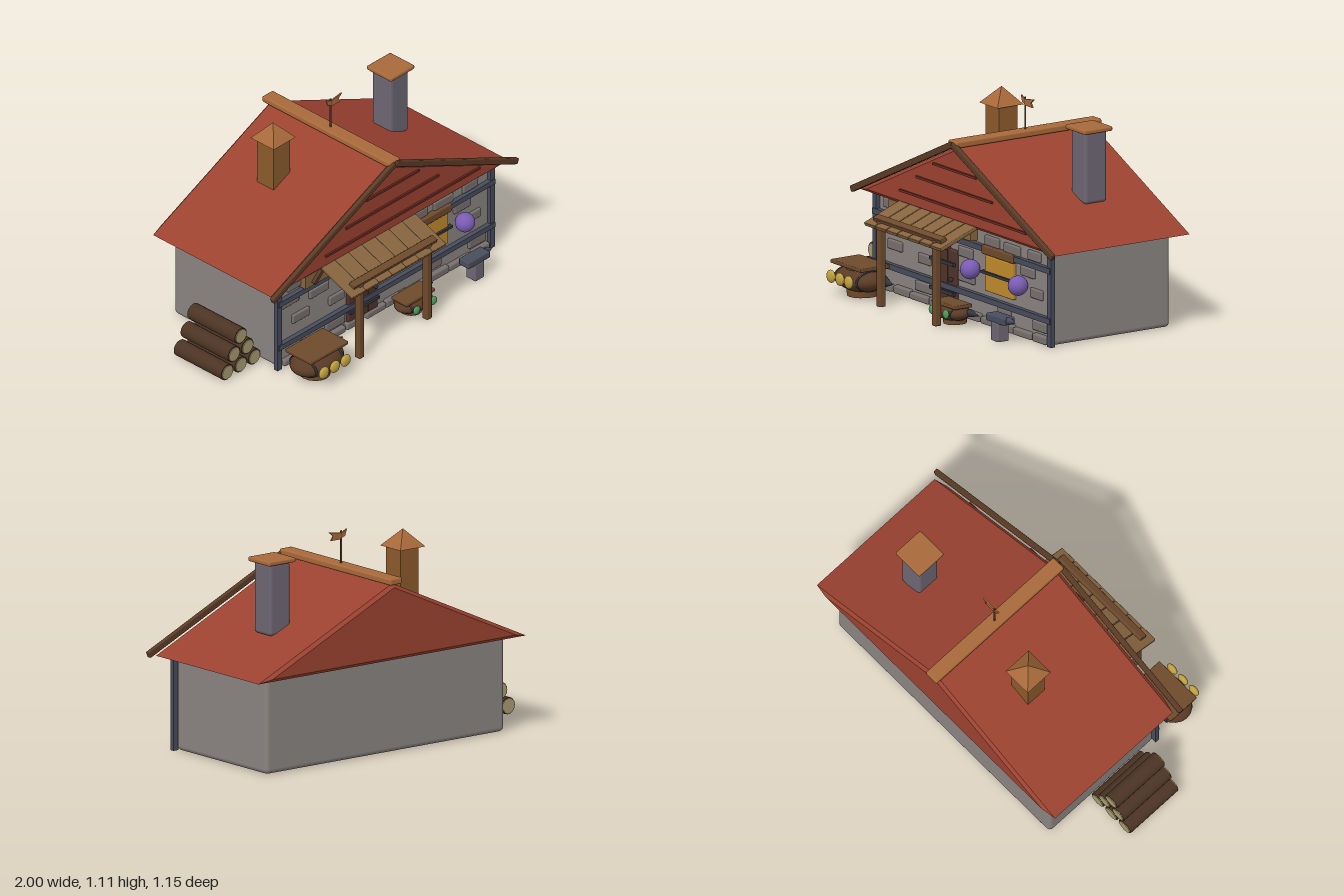
import * as THREE from 'three';
import { RoundedBoxGeometry } from 'three/addons/geometries/RoundedBoxGeometry.js';
import { ConvexGeometry } from 'three/addons/geometries/ConvexGeometry.js';

const materials = {};
function mat(color) {
  return (materials[color] ??= new THREE.MeshStandardMaterial({ color }));
}

const C = {
  wall: 0x8a8480, stone: 0x77706e, roof: 0x9c4230, roofTrim: 0x6e2c22, ridge: 0xa8693a, darkWood: 0x5a3b26,
  wood: 0x6e4a2c, plank: 0x86643e, iron: 0x484c5c, darkIron: 0x34363f, chimney: 0x6c6672, turret: 0x8c5a2c,
  door: 0x503229, glass: 0xc08a2c, purple: 0x7a5cb4, logEnd: 0xa89a70, log: 0x4c3424, gold: 0xc0a040, green: 0x4c9c5a
};

const RIDGE_X = 0.085;

export function createModel() {
  const model = new THREE.Group();
  model.name = 'cottage';

  function add(name, geometry, color, x = 0, y = 0, z = 0, parent = model) {
    const mesh = new THREE.Mesh(geometry, mat(color));
    mesh.name = name;
    mesh.position.set(x, y, z);
    parent.add(mesh);
    return mesh;
  }

  // Box given by its limits, with optional rounded edges
  function box(name, color, [x0, x1], [y0, y1], [z0, z1], r = 0, parent = model) {
    const size = [x1 - x0, y1 - y0, z1 - z0];
    const geo = r ? new RoundedBoxGeometry(...size, 2, r) : new THREE.BoxGeometry(...size);
    return add(name, geo, color, (x0 + x1) / 2, (y0 + y1) / 2, (z0 + z1) / 2, parent);
  }

  // House body
  box('walls', C.wall, [-0.7, 0.87], [0.01, 0.53], [-0.487, 0.25], 0.025);

  // Gabled roof block with chamfered ends
  const roofPoints = [];
  const section = (half, bottom, top, z) => roofPoints.push(
    new THREE.Vector3(RIDGE_X - half, bottom, z), new THREE.Vector3(RIDGE_X + half, bottom, z),
    new THREE.Vector3(RIDGE_X, top, z));
  section(0.8, 0.527, 0.892, 0.31);
  section(0.88, 0.51, 0.912, 0.293);
  section(0.88, 0.51, 0.912, -0.54);
  section(0.8, 0.527, 0.892, -0.557);
  add('roof', new ConvexGeometry(roofPoints), C.roof);

  // Gable battens, ridge beam and barge boards
  [[0.785, -0.11, 0.28], [0.685, -0.26, 0.425], [0.585, -0.41, 0.73]].forEach(([y, x0, x1]) =>
    box('gableBatten', C.roofTrim, [x0, x1], [y - 0.006, y + 0.006], [0.3, 0.32]));
  box('ridgeBeam', C.ridge, [0.045, 0.125], [0.91, 0.945], [-0.575, 0.33], 0.01);
  for (const side of [-1, 1]) {
    const length = Math.hypot(0.905, 0.415);
    const board = add('bargeBoard', new RoundedBoxGeometry(length, 0.034, 0.026, 2, 0.006), C.darkWood,
      RIDGE_X + side * 0.453, 0.718, 0.327);
    board.rotation.z = -side * Math.atan2(0.415, 0.905);
  }

  // Stone chimney and wooden vent turret
  box('chimney', C.chimney, [0.515, 0.65], [0.66, 1.04], [-0.246, -0.11], 0.018);
  box('chimneyCap', C.ridge, [0.495, 0.672], [1.034, 1.058], [-0.265, -0.09], 0.008);
  box('ventTurret', C.turret, [-0.31, -0.19], [0.7, 1.005], [-0.267, -0.15]);
  const cap = new THREE.ConeGeometry(0.082 * Math.SQRT2, 0.092, 4).toNonIndexed();
  cap.rotateY(Math.PI / 4);
  cap.computeVertexNormals();
  add('turretRoof', cap, C.ridge, -0.252, 1.046, -0.21);

  // Weather vane
  add('vanePole', new THREE.CylinderGeometry(0.005, 0.005, 0.18, 8), C.darkWood, RIDGE_X, 1.025, -0.125);
  const flag = new THREE.Shape([[0.05, 1.12], [0.085, 1.103], [0.165, 1.115], [0.14, 1.092], [0.155, 1.07],
    [0.1, 1.07], [0.062, 1.085]].map(p => new THREE.Vector2(...p)));
  add('vaneFlag', new THREE.ExtrudeGeometry(flag, { depth: 0.008, bevelEnabled: false }), C.ridge, 0, 0, -0.129);

  // Iron frame on the facade
  for (const x of [-0.703, 0.872]) box('cornerPost', C.iron, [x - 0.017, x + 0.017], [0.008, 0.512], [0.245, 0.27]);
  for (const y of [0.145, 0.41]) box('wallRail', C.iron, [-0.715, 0.885], [y - 0.015, y + 0.015], [0.245, 0.276]);

  // Facade stones: footing row and scattered blocks
  for (let i = 0; i < 10; i++) {
    const x = -0.61 + i * 0.155;
    const w = 0.062 + 0.01 * (i % 3);
    box('footingStone', C.stone, [x - w, x + w], [0.012, 0.05 + 0.006 * (i % 2)], [0.24, 0.276], 0.01);
  }
  const stones = [[-0.58, 0.47], [0.34, 0.455], [0.52, 0.45], [0.72, 0.455], [-0.535, 0.26], [-0.4, 0.35], [-0.27, 0.24],
    [0.1, 0.35], [0.11, 0.22], [0.74, 0.26], [0.66, 0.36], [-0.62, 0.385], [0.45, 0.1], [0.77, 0.095], [-0.28, 0.09]];
  stones.forEach(([x, y], i) => {
    const w = 0.055 + 0.008 * (i % 3);
    box('wallStone', C.stone, [x - w, x + w], [y - 0.026, y + 0.026], [0.24, 0.264], 0.008);
  });

  // Door with iron straps and handle
  box('door', C.door, [-0.195, 0.03], [0.045, 0.345], [0.24, 0.268], 0.012);
  for (const x of [-0.12, -0.045]) box('doorSeam', C.log, [x - 0.003, x + 0.003], [0.055, 0.335], [0.26, 0.271]);
  for (const y of [0.115, 0.27]) box('doorStrap', C.darkIron, [-0.19, 0.025], [y - 0.009, y + 0.009], [0.26, 0.282]);
  add('doorHandle', new THREE.SphereGeometry(0.012, 12, 8), C.darkIron, 0.0, 0.19, 0.278);

  // Window with bar, lintel and flower balls
  box('window', C.glass, [0.29, 0.545], [0.19, 0.38], [0.24, 0.27], 0.006);
  box('windowBar', C.darkIron, [0.27, 0.565], [0.282, 0.296], [0.26, 0.282]);
  box('windowLintel', C.wood, [0.275, 0.56], [0.385, 0.43], [0.24, 0.282], 0.006);
  for (const x of [0.205, 0.635]) add('flowerBall', new THREE.SphereGeometry(0.052, 24, 16), C.purple, x, 0.29, 0.3);

  // Porch: wall board, brace, posts and sloping plank awning
  box('porchWallBoard', C.plank, [-0.54, 0.2], [0.435, 0.51], [0.245, 0.295]);
  const brace = box('porchBrace', C.darkWood, [-0.5, -0.42], [0.47, 0.49], [0.29, 0.315]);
  brace.rotation.z = 0.75;
  for (const x of [-0.335, 0.165]) box('porchPost', C.wood, [x - 0.018, x + 0.018], [0.01, 0.46], [0.463, 0.5], 0.005);
  const awning = new THREE.Group();
  awning.name = 'awning';
  awning.position.set(-0.0825, 0.474, 0.41);
  awning.rotation.x = 0.37;
  model.add(awning);
  for (let i = 0; i < 7; i++) {
    const x = -0.298 + i * 0.0993;
    box('awningPlank', C.plank, [x - 0.0475, x + 0.0475], [-0.01, 0.01], [-0.12, 0.12], 0.004, awning);
  }
  box('awningBeam', C.wood, [-0.305, 0.307], [0.004, 0.03], [0.045, 0.085], 0.004, awning);
  box('awningRail', C.darkWood, [-0.325, 0.325], [-0.03, -0.008], [0.045, 0.075], 0, awning);

  // Log pile
  for (const [rowY, xs] of [[0.055, [-0.955, -0.855, -0.755]], [0.142, [-0.905, -0.805]], [0.23, [-0.855]]]) {
    for (const x of xs) {
      const log = add('log', new THREE.CylinderGeometry(0.045, 0.045, 0.335, 16), C.log, x, rowY, -0.03);
      log.rotation.x = Math.PI / 2;
      const end = add('logEnd', new THREE.CylinderGeometry(0.039, 0.039, 0.345, 16), C.logEnd, x, rowY, -0.03);
      end.rotation.x = Math.PI / 2;
    }
  }

  // Market barrels: stump, rounded tub, lid, produce and a side spike
  function barrel(name, x, y, z, [rx, ry, rz], base, [lidX, lidZ, lidY], produce) {
    const group = new THREE.Group();
    group.name = name;
    model.add(group);
    const stump = add('stump', new THREE.CylinderGeometry(base, base * 0.95, lidY - 0.01, 16), C.wood,
      x, (lidY + 0.01) / 2, z - 0.02, group);
    stump.scale.z = 1.1;
    add('tub', new THREE.SphereGeometry(1, 24, 16), C.darkWood, x, y, z, group).scale.set(rx, ry, rz);
    box('lid', C.wood, [x - lidX, x + lidX], [lidY, lidY + 0.02], [z - lidZ, z + lidZ], 0.005, group);
    for (const side of [-1, 1]) {
      const hoop = add('hoop', new THREE.TorusGeometry(1, 0.05, 6, 28), C.darkIron, x + side * rx * 0.6, y, z, group);
      hoop.rotation.y = Math.PI / 2;
      hoop.scale.set(rz * 0.8, ry * 0.8, 0.15);
    }
    const spike = add('spike', new THREE.ConeGeometry(ry * 0.5, 0.09, 12), C.darkIron, x + rx + 0.03, y + 0.005, z - 0.04, group);
    spike.rotation.z = -Math.PI / 2;
    for (const dx of produce.xs)
      add('produce', new THREE.SphereGeometry(1, 16, 12), produce.color, x + dx, produce.y, produce.z, group)
        .scale.set(produce.r, produce.r, produce.r * 0.5);
  }
  barrel('largeBarrel', -0.597, 0.1, 0.43, [0.163, 0.066, 0.115], 0.085, [0.138, 0.092, 0.165],
    { xs: [-0.08, 0, 0.08], y: 0.11, z: 0.557, r: 0.034, color: C.gold });
  barrel('smallBarrel', 0.163, 0.073, 0.385, [0.118, 0.044, 0.08], 0.06, [0.105, 0.055, 0.105],
    { xs: [-0.06, 0.065], y: 0.08, z: 0.467, r: 0.024, color: C.green });

  // Anvil on its block
  box('anvilBlock', C.chimney, [0.577, 0.645], [0.01, 0.11], [0.362, 0.43], 0.006);
  box('anvilBody', C.iron, [0.53, 0.69], [0.105, 0.145], [0.355, 0.428], 0.008);
  const horn = add('anvilHorn', new THREE.ConeGeometry(0.022, 0.06, 12), C.iron, 0.715, 0.127, 0.392);
  horn.rotation.z = -Math.PI / 2;

  return model;
}
